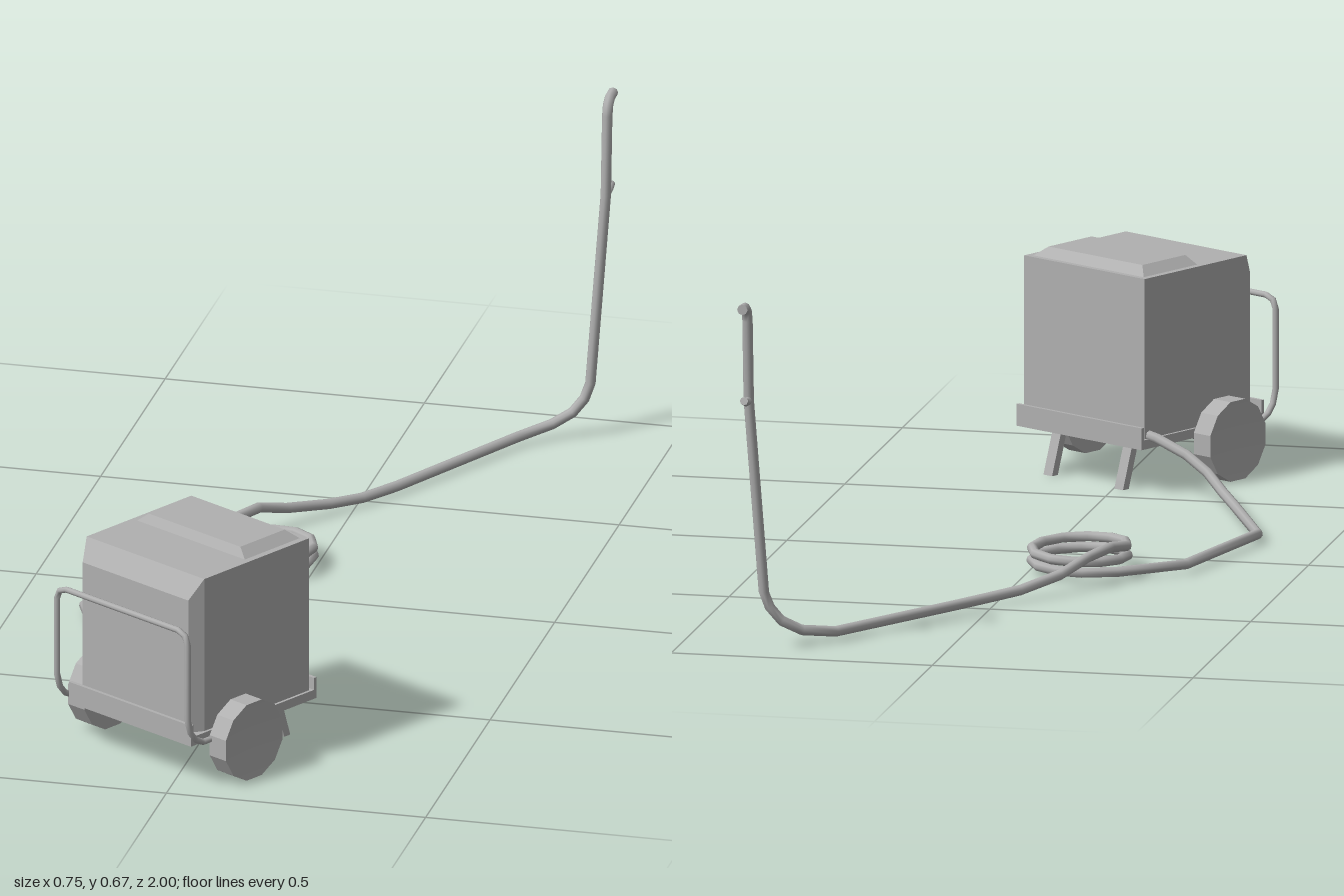
import * as THREE from 'three';
import { toCreasedNormals } from 'three/addons/utils/BufferGeometryUtils.js';

const grey = new THREE.MeshStandardMaterial({ color: 0xb0b0b0 });
grey.name = 'plain grey';

// Straight-segment path, so each given point becomes one ring of the tube
class Polyline extends THREE.Curve {
  constructor(points) {
    super();
    this.points = points;
  }
  getPoint(t, target = new THREE.Vector3()) {
    const n = this.points.length - 1;
    const i = Math.min(Math.floor(t * n), n - 1);
    return target.lerpVectors(this.points[i], this.points[i + 1], t * n - i);
  }
  getUtoTmapping(u) {
    return u;
  }
}

function add(parent, name, geometry, x = 0, y = 0, z = 0) {
  const mesh = new THREE.Mesh(geometry, grey);
  mesh.name = name;
  mesh.position.set(x, y, z);
  parent.add(mesh);
  return mesh;
}

// Round tube through points, closed by a disc at each end
function addTube(parent, name, coords, radius, sides = 8) {
  const pts = coords.map((c) => new THREE.Vector3(...c));
  const group = new THREE.Group();
  group.name = name;
  parent.add(group);
  add(group, name + 'Pipe', new THREE.TubeGeometry(new Polyline(pts), pts.length - 1, radius, sides));
  const n = pts.length - 1;
  for (const [end, next] of [[pts[0], pts[1]], [pts[n], pts[n - 1]]]) {
    const cap = add(group, name + 'End', new THREE.CircleGeometry(radius, sides), end.x, end.y, end.z);
    const out = end.clone().sub(next).normalize();
    cap.quaternion.setFromUnitVectors(new THREE.Vector3(0, 0, 1), out);
  }
  return group;
}

// Box whose vertices are moved by a rule, with flat faces
function shapedBox(w, h, d, rule, depthSegments = 1) {
  const geo = new THREE.BoxGeometry(w, h, d, 1, 1, depthSegments);
  const p = geo.attributes.position;
  const v = new THREE.Vector3();
  for (let i = 0; i < p.count; i++) {
    v.fromBufferAttribute(p, i);
    rule(v);
    p.setXYZ(i, v.x, v.y, v.z);
  }
  const flat = geo.toNonIndexed();
  flat.computeVertexNormals();
  return flat;
}

function createCart() {
  const cart = new THREE.Group();
  cart.name = 'cart';

  // Housing with a chamfered front
  const body = shapedBox(0.306, 0.308, 0.309, (v) => {
    if (Math.abs(v.z) < 0.01) v.z = 0.1275;
    else if (v.z > 0) {
      v.x -= Math.sign(v.x) * 0.0156;
      if (v.y > 0) v.y -= 0.04;
    }
  }, 2);
  add(cart, 'housing', body, 0, 0.259, 0);

  // Raised lid over the rear half
  const lid = shapedBox(0.28, 0.017, 0.148, (v) => {
    if (v.y > 0) {
      v.x -= Math.sign(v.x) * 0.021;
      v.z += v.z > 0 ? -0.01 : 0.019;
    }
  });
  add(cart, 'lid', lid, 0, 0.4215, -0.069);

  // Tray with a lip at front and back
  add(cart, 'trayFloor', new THREE.BoxGeometry(0.317, 0.018, 0.339), 0, 0.097, 0);
  for (const s of [-1, 1]) {
    add(cart, s > 0 ? 'frontLip' : 'backLip', new THREE.BoxGeometry(0.317, 0.042, 0.007), 0, 0.109, s * 0.166);
  }

  // Wheels with dished outer faces, on one axle
  const r = 0.079;
  const profile = [[0, -0.021], [r, -0.021], [r, 0.021], [0, 0.011]].map((p) => new THREE.Vector2(...p));
  const wheelGeo = toCreasedNormals(new THREE.LatheGeometry(profile, 12, Math.PI / 12), 0.4);
  for (const s of [-1, 1]) {
    const wheel = add(cart, s > 0 ? 'leftWheel' : 'rightWheel', wheelGeo, s * 0.184, r, 0.047);
    wheel.rotation.z = -s * Math.PI / 2;
  }
  const axle = add(cart, 'axle', new THREE.CylinderGeometry(0.012, 0.012, 0.34, 8), 0, 0.077, 0.047);
  axle.rotation.z = Math.PI / 2;

  // Rear legs, leaning backward
  for (const s of [-1, 1]) {
    const leg = shapedBox(0.022, 0.09, 0.016, (v) => {
      if (v.y < 0) v.z -= 0.028;
    });
    add(cart, s > 0 ? 'leftLeg' : 'rightLeg', leg, s * 0.09, 0.046, -0.122);
  }

  // Push handle in front, mirrored about the middle
  const half = [
    [0.17, 0.095, 0.13], [0.17, 0.095, 0.148], [0.17, 0.105, 0.168], [0.17, 0.122, 0.182],
    [0.17, 0.15, 0.19], [0.17, 0.302, 0.19], [0.163, 0.319, 0.19], [0.145, 0.326, 0.19],
  ];
  const mirrored = half.map(([x, y, z]) => [-x, y, z]).reverse();
  addTube(cart, 'handle', [...half, ...mirrored], 0.006, 8);

  cart.position.set(-0.012, 0, 0.747);
  cart.rotation.y = -Math.PI / 6;
  return cart;
}

function createHose() {
  const hose = new THREE.Group();
  hose.name = 'hoseAndWand';

  // Hose from the housing to the coil
  const path = [
    [-0.05, 0.115, 0.56], [-0.09, 0.108, 0.54], [-0.153, 0.085, 0.513], [-0.2, 0.06, 0.482],
    [-0.238, 0.032, 0.444], [-0.27, 0.019, 0.397], [-0.365, 0.018, 0.17],
    [-0.29, 0.018, -0.116], [-0.18, 0.018, -0.208],
  ];
  // Coil lying on the ground
  const steps = 21;
  for (let i = 0; i <= steps; i++) {
    const a = THREE.MathUtils.degToRad(-105 + (645 * i) / steps);
    path.push([-0.093 + 0.09 * Math.cos(a), 0.018 + (0.036 * i) / steps, -0.143 + 0.09 * Math.sin(a)]);
  }
  // Run to the wand, then the upright wand with its bent tip
  path.push(
    [-0.167, 0.065, -0.21], [-0.14, 0.06, -0.28], [-0.1, 0.038, -0.344], [-0.04, 0.022, -0.42],
    [0.01, 0.017, -0.476], [0.058, 0.016, -0.55], [0.222, 0.02, -0.835], [0.275, 0.031, -0.885],
    [0.31, 0.051, -0.903], [0.331, 0.078, -0.911], [0.341, 0.108, -0.917],
    [0.364, 0.48, -0.944], [0.364, 0.635, -0.955], [0.364, 0.655, -0.962],
    [0.364, 0.664, -0.976], [0.364, 0.665, -1],
  );
  addTube(hose, 'hose', path, 0.01, 8);

  // Short trigger on the wand
  addTube(hose, 'trigger', [[0.364, 0.48, -0.944], [0.364, 0.481, -0.968], [0.364, 0.487, -0.985]], 0.008, 8);
  return hose;
}

export function createModel() {
  const model = new THREE.Group();
  model.name = 'wheeledSprayer';
  model.add(createCart(), createHose());
  return model;
}
